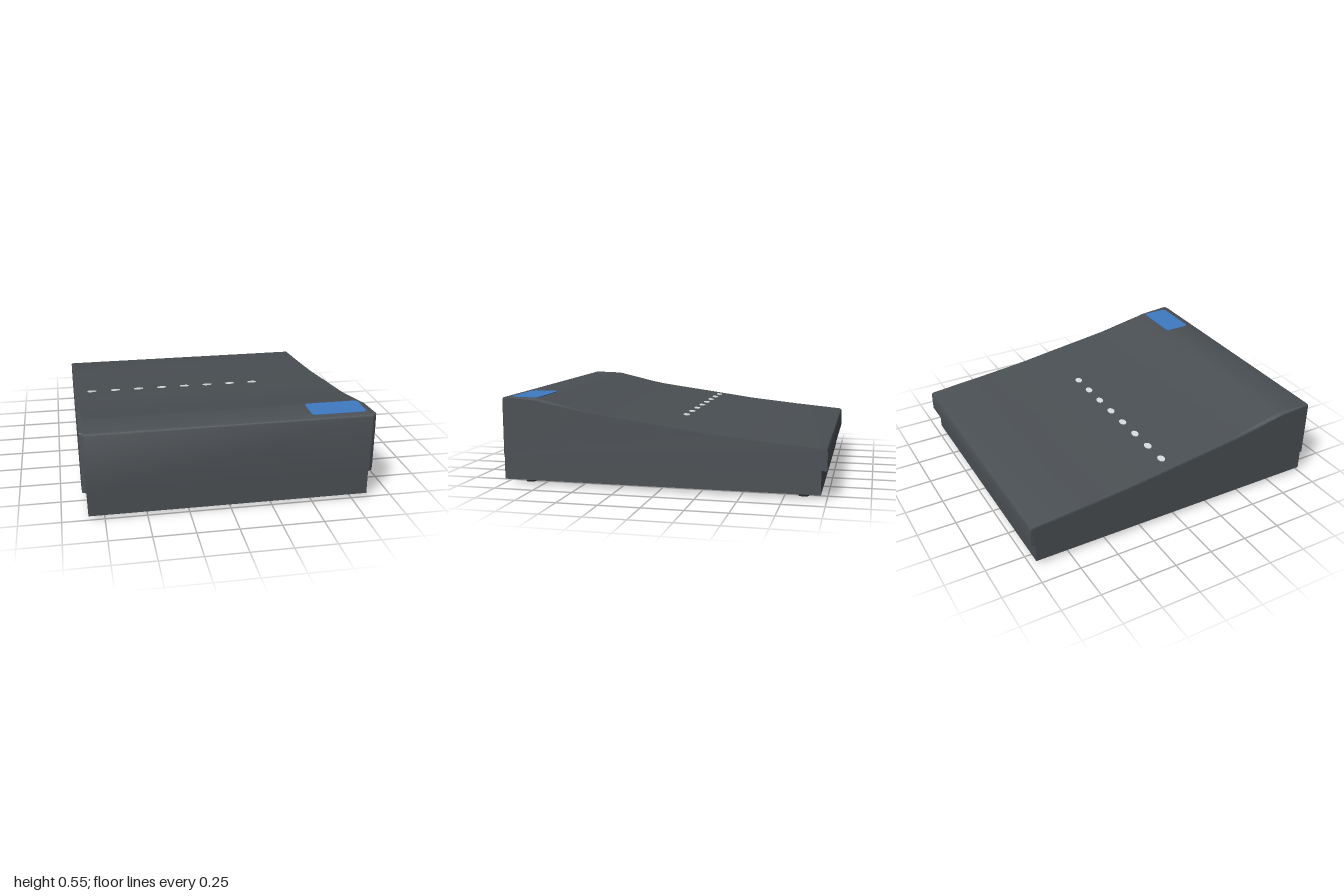
import * as THREE from 'three';
import { toCreasedNormals } from 'three/addons/utils/BufferGeometryUtils.js';

const mat = (name, color) => {
  const m = new THREE.MeshStandardMaterial({ color });
  m.name = name;
  return m;
};

// Side profile of the cover as [z, y]: back foot, sloping top, front foot
const top = [
  [-1, 0.285], [-0.994, 0.296], [-0.98, 0.301], [-0.65, 0.33], [-0.3, 0.365],
  [0, 0.406], [0.2, 0.432], [0.41, 0.46], [0.6, 0.503], [0.76, 0.539], [0.79, 0.543],
  [0.98, 0.545], [0.994, 0.539], [1, 0.527],
];
const coverProfile = [[-1, 0.175], ...top, [1, 0.175]];

// Extrudes a [z, y] profile along x from x0 to x1
function extrudeX(profile, x0, x1) {
  const shape = new THREE.Shape(profile.map(([z, y]) => new THREE.Vector2(z, y)));
  const geo = new THREE.ExtrudeGeometry(shape, { depth: x1 - x0, bevelEnabled: false });
  return geo.rotateY(-Math.PI / 2).translate(x1, 0, 0);
}

// Height of the top surface at depth z
function topHeight(z) {
  const i = top.findIndex((p) => p[0] > z);
  const [z0, y0] = top[i - 1], [z1, y1] = top[i];
  return y0 + (y1 - y0) * (z - z0) / (z1 - z0);
}

export function createModel() {
  const model = new THREE.Group();
  const grey = mat('slateGrey', 0x4b5054);
  const dark = mat('footGrey', 0x3d4043);
  const white = mat('lampWhite', 0xd6dadb);
  const blue = mat('labelBlue', 0x3f7ac2);
  const add = (name, geo, material) => {
    const mesh = new THREE.Mesh(geo, material);
    mesh.name = name;
    model.add(mesh);
    return mesh;
  };

  // Lower tray, flush with the cover at the front
  add('base', new THREE.BoxGeometry(1.69, 0.155, 1.965).translate(0, 0.1025, 0.0175), grey);

  // Curved cover
  add('cover', toCreasedNormals(extrudeX(coverProfile, -0.85, 0.85), 0.5), grey);

  // Overhanging cheeks, chamfered at the front and along the raised top edge
  for (const s of [-1, 1]) {
    const geo = s > 0 ? extrudeX(coverProfile, 0.85, 0.872) : extrudeX(coverProfile, -0.872, -0.85);
    const p = geo.attributes.position;
    for (let i = 0; i < p.count; i++) {
      if (Math.abs(p.getX(i)) < 0.86) continue;
      const z = p.getZ(i), y = p.getY(i);
      if (z > 0.5 && z < 0.9 && y > 0.4) p.setY(i, y - 0.012);
      if (z > 0.985) p.setZ(i, 0.985 + (z - 0.985) * 0.1);
    }
    geo.computeVertexNormals();
    add(s > 0 ? 'leftCheek' : 'rightCheek', toCreasedNormals(geo, 0.5), grey);

    // Slightly proud side panel above the bottom lip
    const edge = top.slice(1, -2).map(([z, y]) => [z, y - (z > 0.5 && z < 0.9 ? 0.014 : 0.005)]);
    const panel = [[-0.994, 0.179], ...edge, [0.982, 0.19]];
    add('sidePanel', s > 0 ? extrudeX(panel, 0.871, 0.875) : extrudeX(panel, -0.875, -0.871), grey);
  }

  // Row of oval indicator lamps lying on the slope
  const slope = Math.atan2(topHeight(-0.03) - topHeight(-0.09), 0.06);
  for (let i = 0; i < 8; i++) {
    const lamp = add('lamp', new THREE.CylinderGeometry(1, 1, 0.006, 16), white);
    lamp.scale.set(0.032, 1, 0.021);
    lamp.rotation.x = -slope;
    lamp.position.set(-0.755 + i * 0.16, topHeight(-0.06) + 0.001, -0.06);
  }

  // Blue label with clipped corners, draped over the top
  const w = 0.168, d = 0.09, c = 0.015;
  const outline = [[-w + c, -d], [w - c, -d], [w, -d + c], [w, d - c], [w - c, d], [-w + c, d], [-w, d - c], [-w, -d + c]];
  const label = new THREE.ExtrudeGeometry(
    new THREE.Shape(outline.map(([x, y]) => new THREE.Vector2(x, y))),
    { depth: 0.005, bevelEnabled: false },
  );
  label.rotateX(-Math.PI / 2);
  add('label', label, blue).position.set(0.662, 0.5415, 0.86);

  // Tapered feet
  for (const x of [-0.76, 0.76]) {
    for (const z of [-0.86, 0.86]) {
      add('foot', new THREE.CylinderGeometry(0.046, 0.03, 0.027, 20), dark).position.set(x, 0.0135, z);
    }
  }
  return model;
}
